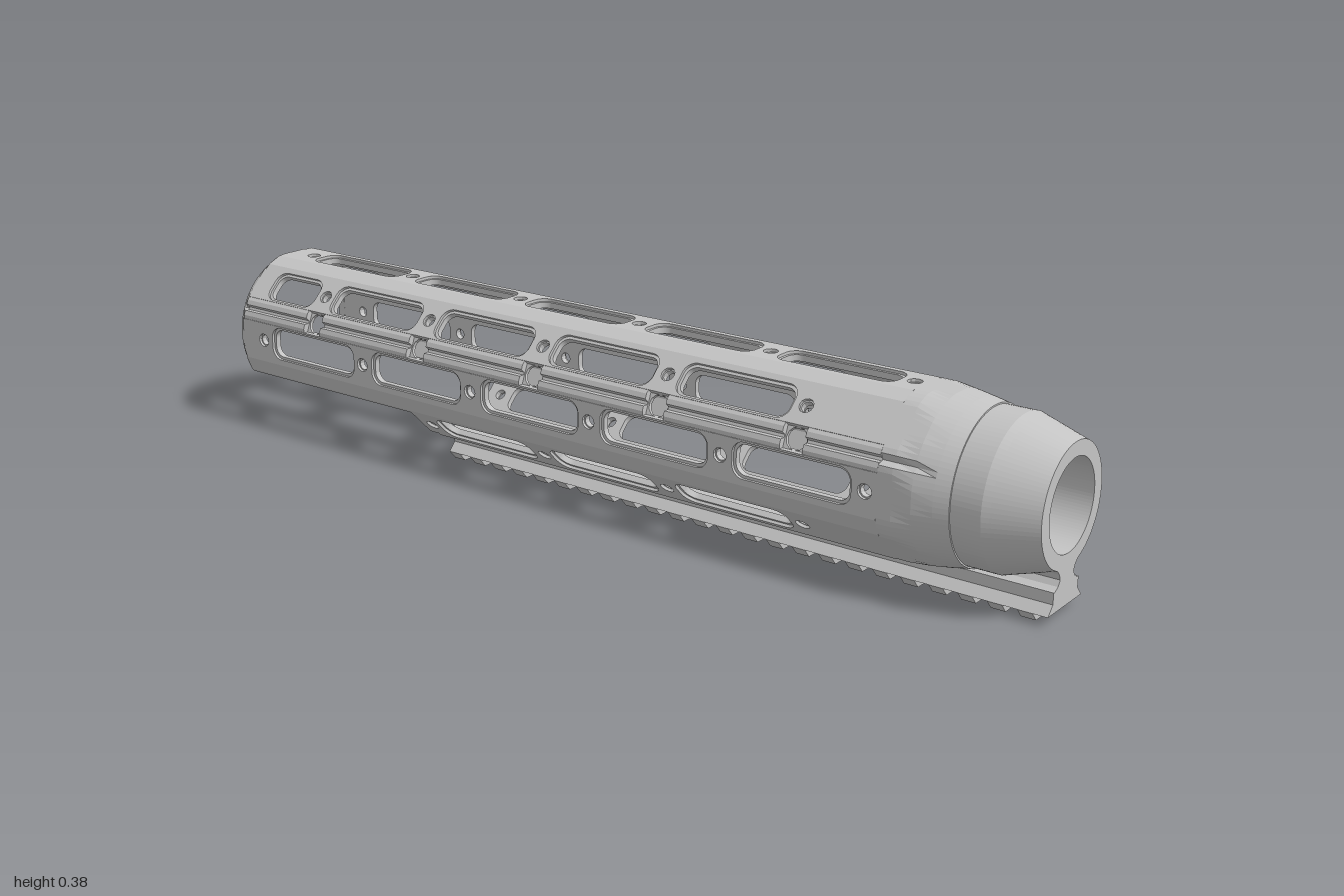
import * as THREE from 'three';

const CY = 0.212;              // height of the tube axis
const FACE = 0.167;            // axis to outer flats
const BORE = 0.148;            // axis to inner wall
const HALF = 0.041;            // half width of a slotted strip
const FRONT = 0.7, REAR = -0.98, SHORT = -0.475;
const RAD = Math.PI / 180;

const slotZ = [0.516, 0.197, -0.121, -0.44, -0.757];
const betweenZ = [0.357, 0.036, -0.283, -0.6];

const metal = new THREE.MeshStandardMaterial({ color: 0xc4c4c4, flatShading: true, side: THREE.DoubleSide });
metal.name = 'light grey metal';

export function createModel() {
  const model = new THREE.Group();
  model.name = 'slottedHandguard';

  const add = (geometry, name, parent = model) => {
    const mesh = new THREE.Mesh(geometry, metal);
    mesh.name = name;
    parent.add(mesh);
    return mesh;
  };

  // Rounded slot outline centred on z, or a round hole
  const slotPath = (z, length, w) => {
    const h = length / 2, r = 0.7 * w, p = new THREE.Path();
    p.moveTo(-w + r, z - h);
    p.lineTo(w - r, z - h);
    p.absarc(w - r, z - h + r, r, -Math.PI / 2, 0);
    p.absarc(w - r, z + h - r, r, 0, Math.PI / 2);
    p.absarc(-w + r, z + h - r, r, Math.PI / 2, Math.PI);
    p.absarc(-w + r, z - h + r, r, Math.PI, Math.PI * 1.5);
    return p;
  };
  const holePath = (z, r) => new THREE.Path().absarc(0, z, r, 0, Math.PI * 2);

  // Flat plate along z, facing outward at the given angle
  const plate = (name, angle, half, z0, z1, inner, outer, holes) => {
    const shape = new THREE.Shape([[-half, z0], [half, z0], [half, z1], [-half, z1]]
      .map(([x, y]) => new THREE.Vector2(x, y)));
    shape.holes = holes;
    const g = new THREE.ExtrudeGeometry(shape, { depth: outer - inner, bevelEnabled: false, curveSegments: 6 });
    const c = Math.cos(angle * RAD), s = Math.sin(angle * RAD);
    g.applyMatrix4(new THREE.Matrix4().makeBasis(
      new THREE.Vector3(-s, c, 0), new THREE.Vector3(0, 0, 1), new THREE.Vector3(c, s, 0)
    ).setPosition(c * inner, CY + s * inner, 0));
    add(g, name);
  };

  // Slotted strip in two layers, so every opening has a stepped rim
  const strip = (name, angle, z0, slots, screws) => {
    const step = FACE - 0.006;
    const cut = (grow) => [
      ...slots.map(([z, length]) => slotPath(z, length + 2 * grow, 0.031 + grow)),
      ...screws.map((z) => holePath(z, 0.012 + grow * 0.5)),
    ];
    plate(name, angle, HALF, z0, FRONT, BORE, step, cut(0));
    plate(name + 'Rim', angle, HALF, z0, FRONT, step, FACE, cut(0.006));
  };

  // Prism along z from a cross-section
  const prism = (name, points, z0, z1) => {
    const g = new THREE.ExtrudeGeometry(new THREE.Shape(points.map(([x, y]) => new THREE.Vector2(x, y))),
      { depth: z1 - z0, bevelEnabled: false });
    g.translate(0, 0, z0);
    return add(g, name);
  };
  const mirrored = (half) => [...half, ...half.slice().reverse().map(([x, y]) => [-x, y])];

  // Point on a face: distance from the axis and offset along the flat
  const onFace = (angle, d, s) => {
    const c = Math.cos(angle * RAD), n = Math.sin(angle * RAD);
    return [c * d - n * s, CY + n * d + c * s];
  };
  const corner = (name, a) => prism(name, [
    onFace(a, FACE, HALF), onFace(a, FACE, 0.05), onFace(a + 45, FACE, -0.05),
    onFace(a + 45, FACE, -HALF), onFace(a + 45, BORE, -HALF), onFace(a, BORE, HALF),
  ], REAR, FRONT);

  // Octagon radius with a groove in two corners, trimmed flat underneath
  const radiusAt = (t, limit) => {
    const step = Math.PI / 4;
    let r = Math.min(limit, FACE / Math.cos(t - Math.round(t / step) * step), 0.1743);
    if ([22.5, 157.5].some((a) => Math.abs(t - a * RAD) < 0.01)) r = Math.min(r, 0.161);
    if (Math.sin(t) < -0.5) r = Math.min(r, 0.152 / -Math.sin(t));
    return r;
  };
  // Turned profile of [z, radius limit] swept over an angle range
  const turned = (name, profile, a0, a1, n) => {
    const pos = [], index = [], m = profile.length;
    for (let i = 0; i <= n; i++) {
      const t = (a0 + (a1 - a0) * i / n) * RAD;
      for (const [z, limit] of profile) {
        const r = radiusAt(t, limit);
        pos.push(r * Math.cos(t), CY + r * Math.sin(t), z);
      }
    }
    for (let i = 0; i < n; i++) for (let j = 0; j < m - 1; j++) {
      const a = i * m + j, b = a + m;
      index.push(a, b, b + 1, a, b + 1, a + 1);
    }
    const g = new THREE.BufferGeometry();
    g.setAttribute('position', new THREE.Float32BufferAttribute(pos, 3));
    g.setIndex(index);
    g.computeVertexNormals();
    add(g, name);
  };

  // Top and side strips
  const mainSlots = slotZ.map((z) => [z, 0.25]);
  const mainScrews = [0.675, ...betweenZ, -0.917];
  strip('leftStrip', 0, REAR, mainSlots, mainScrews);
  strip('topStrip', 90, REAR, mainSlots, mainScrews);
  strip('rightStrip', 180, REAR, mainSlots, mainScrews);

  // Diagonal strips, long above and short below
  const upper = [...betweenZ.map((z) => [z, 0.25]), [-0.857, 0.135]];
  const lower = upper.slice(0, 3);
  for (const [side, up, down] of [['left', 45, -45], ['right', 135, 225]]) {
    strip(side + 'UpperStrip', up, REAR, upper, slotZ);
    strip(side + 'LowerStrip', down, SHORT, lower, slotZ.slice(0, 4));
  }

  // Plain corner bars
  corner('leftTopCorner', 45);
  corner('rightTopCorner', 90);
  corner('leftLowerCorner', -45);
  corner('rightLowerCorner', 180);

  // Drilled corners: a holed plate under grooved ridges that stop at each hole
  const ridgeHalf = [[0.156, 0.0245], [0.17, 0.0255], [0.1735, 0.0177], [0.1735, 0.007], [0.163, 0.003]];
  const ridge = [...ridgeHalf, ...ridgeHalf.slice().reverse().map(([d, s]) => [d, -s])];
  for (const [side, angle] of [['left', 22.5], ['right', 157.5]]) {
    plate(side + 'DrilledCorner', angle, 0.0245, REAR, FRONT, 0.152, 0.16, slotZ.map((z) => holePath(z, 0.0225)));
    const section = ridge.map(([d, s]) => onFace(angle, d, s));
    for (let i = 0; i <= slotZ.length; i++) {
      const z1 = i > 0 ? slotZ[i - 1] - 0.025 : FRONT;
      const z0 = i < slotZ.length ? slotZ[i] + 0.025 : REAR;
      prism(side + 'GroovedRidge', section, z0, z1);
    }
  }

  // Floor under the bore
  prism('floor', mirrored([[0.04, 0.07], [0.0763, 0.079], [0.09, 0.066], [0.084, 0.06]]), -0.45, FRONT);

  // Bevelled rear lip and turned nose with a through bore
  turned('rearLip', [[-1, 0.15], [-1, 0.16], [-0.985, 0.17], [REAR, 0.18], [REAR, BORE], [-1, 0.15]], -30, 210, 64);
  turned('nose', [
    [0.78, 0.09], [0.78, BORE], [FRONT, BORE], [FRONT, 0.18], [0.73, 0.174], [0.77, 0.168], [0.81, 0.161],
    [0.84, 0.155], [0.84, 0.152], [0.9, 0.152], [0.915, 0.147], [1, 0.12], [1, 0.09], [0.78, 0.09],
  ], 0, 360, 96);

  // Web joining the nose to the rail
  prism('noseWeb', mirrored([[0.045, 0.103], [0.032, 0.09], [0.027, 0.078], [0.034, 0.067], [0.05, 0.058]]), 0.8, 1);

  // Accessory rail with cross teeth
  prism('rail', mirrored([[0.05, 0.061], [0.05, 0.038], [0.067, 0.019]]), -0.44, 1);
  const teeth = new THREE.Group();
  teeth.name = 'railTeeth';
  model.add(teeth);
  for (let i = 0; i < 24; i++) {
    const z = -0.44 + i * 0.06;
    teeth.add(prism('tooth', mirrored([[0.067, 0.019], [0.05, 0]]), z, z + 0.03));
  }
  return model;
}
